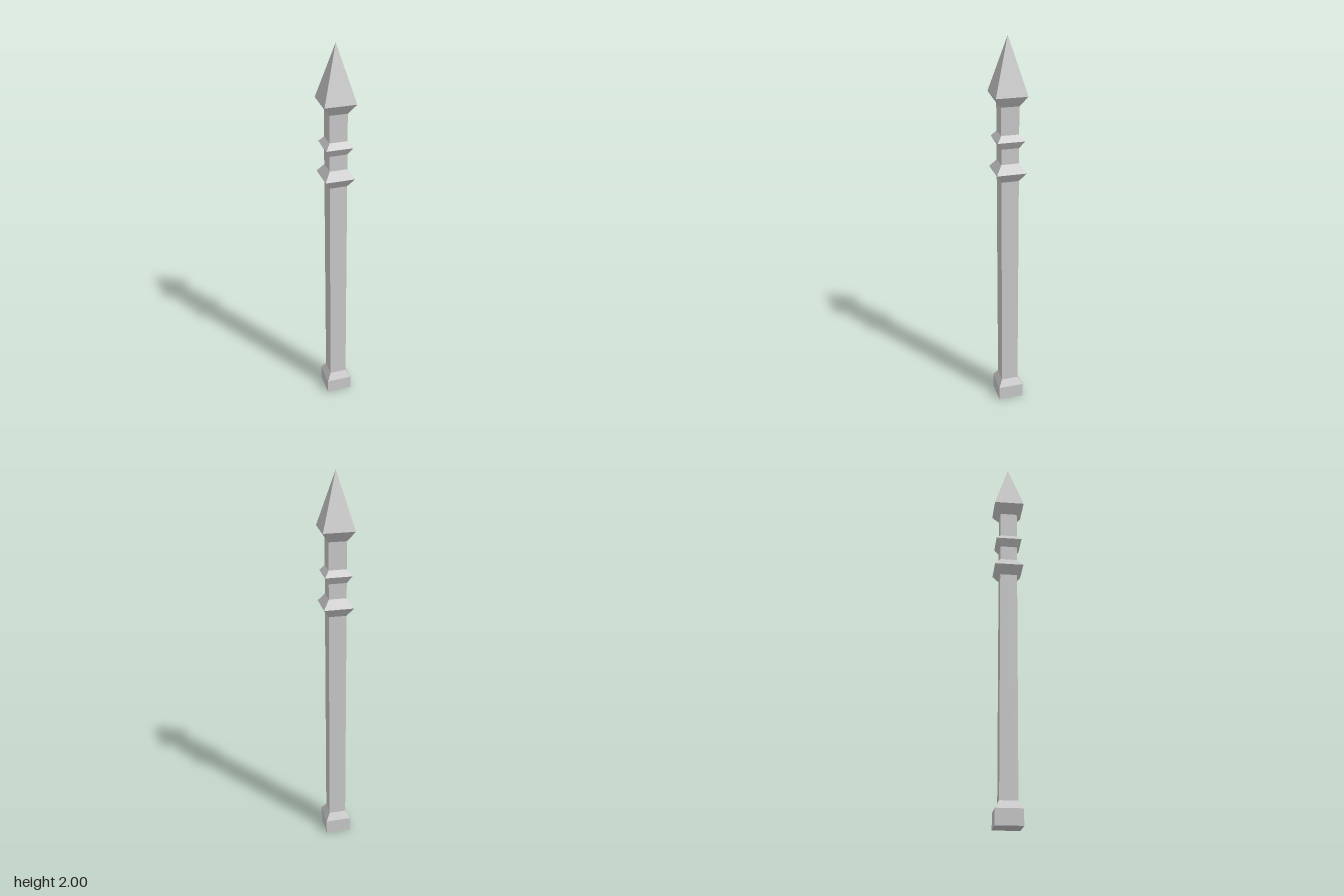
import * as THREE from 'three';

const SHAFT = 0.063; // corner radius of the square shaft

export function createModel() {
  const group = new THREE.Group();
  const material = new THREE.MeshStandardMaterial({ color: 0xcccccc, flatShading: true });

  // Four-sided turned part, corners on the x and z axes; profile runs bottom to top as [radius, y]
  const addPart = (name, profile) => {
    const points = profile.map(([r, y]) => new THREE.Vector2(r, y));
    const mesh = new THREE.Mesh(new THREE.LatheGeometry(points, 4), material);
    mesh.name = name;
    group.add(mesh);
  };

  // Foot block with closed underside and chamfered top
  addPart('foot', [[0, 0], [0.095, 0], [0.095, 0.078], [SHAFT, 0.117]]);

  // Shaft sections between the collars
  addPart('shaft', [[SHAFT, 0.117], [SHAFT, 1.298]]);
  addPart('middleShaft', [[SHAFT, 1.39], [SHAFT, 1.468]]);
  addPart('upperShaft', [[SHAFT, 1.537], [SHAFT, 1.675]]);

  // Pointed collars
  addPart('lowerCollar', [[SHAFT, 1.298], [0.106, 1.345], [SHAFT, 1.39]]);
  addPart('upperCollar', [[SHAFT, 1.468], [0.095, 1.507], [SHAFT, 1.537]]);

  // Spear point
  addPart('spearPoint', [[SHAFT, 1.675], [0.111, 1.727], [0, 2]]);

  return group;
}
